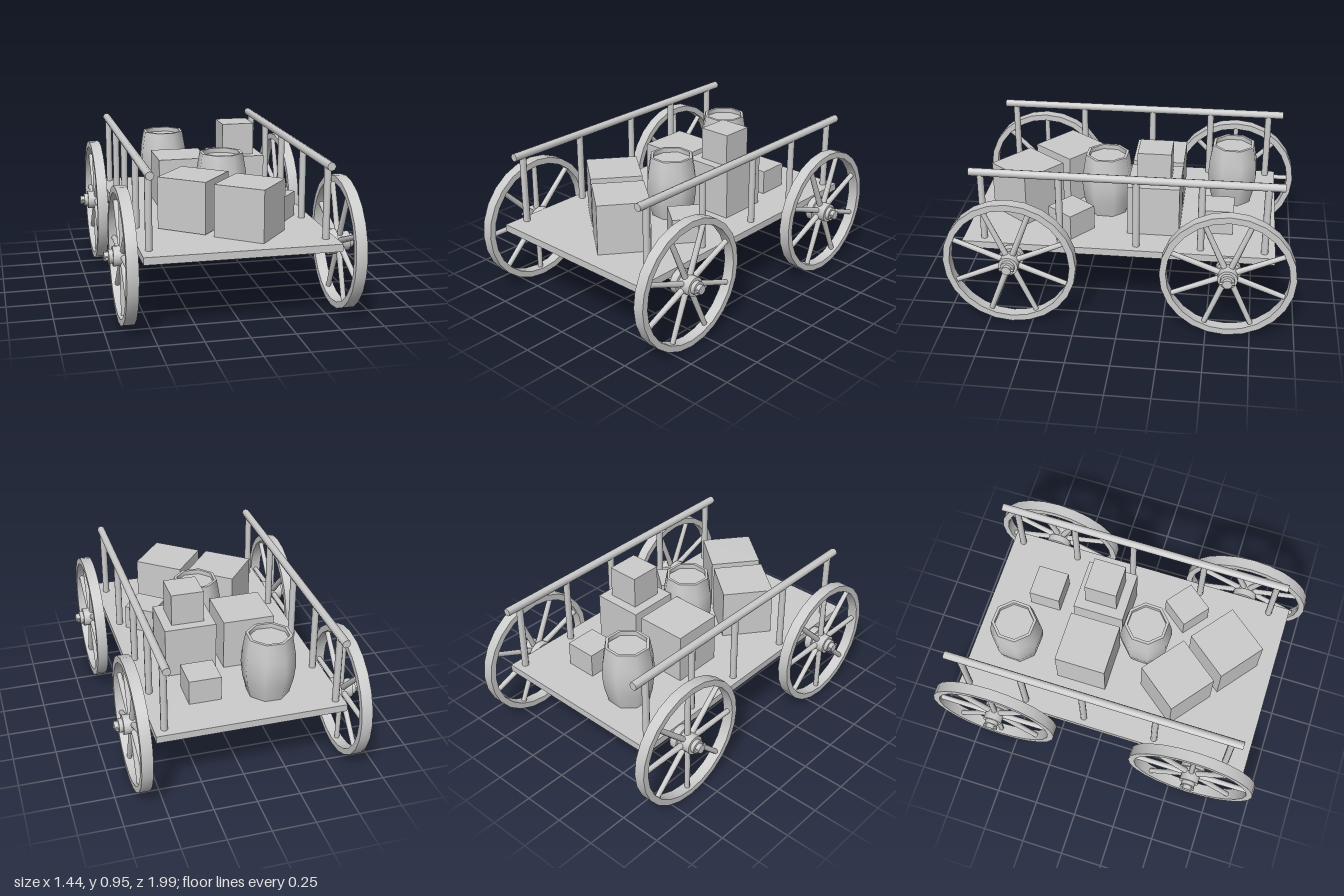
import * as THREE from 'three';
import { toCreasedNormals } from 'three/addons/utils/BufferGeometryUtils.js';

const grey = new THREE.MeshStandardMaterial({ color: 0xcccccc });
const OFFSET = -0.008; // the body sits a touch off centre
const HUB_Y = 0.387;

function add(parent, name, geometry, x = 0, y = 0, z = 0) {
  const mesh = new THREE.Mesh(geometry, grey);
  mesh.name = name;
  mesh.position.set(x, y, z);
  parent.add(mesh);
  return mesh;
}

// Cylinder with smooth sides and sharp ends
function rod(radius, length, sides = 10, radiusTop = radius) {
  return toCreasedNormals(new THREE.CylinderGeometry(radiusTop, radius, length, sides), 0.9);
}

function lathe(points, sides, crease) {
  const profile = points.map(([r, y]) => new THREE.Vector2(r, y));
  return toCreasedNormals(new THREE.LatheGeometry(profile, sides), crease);
}

// Wheel built around the y axis, +y pointing outwards
function makeWheel(spokeStart) {
  const wheel = new THREE.Group();
  wheel.name = 'wheel';
  const half = 0.032;
  add(wheel, 'rim', lathe([[0.344, -half], [0.381, -half], [0.381, half], [0.344, half], [0.344, -half]], 24, 0.5));

  // Stepped hub
  add(wheel, 'hub', lathe([
    [0, -0.065], [0.073, -0.065], [0.073, -0.022], [0.056, -0.022],
    [0.056, 0.055], [0.04, 0.055], [0.04, 0.078], [0.026, 0.078],
    [0.026, 0.103], [0, 0.103],
  ], 16, 0.6));

  // Locking pin through the end of the axle
  const pin = add(wheel, 'axlePin', rod(0.009, 0.085, 6), 0, 0.09, 0);
  pin.rotation.x = Math.PI / 2;

  // Spokes
  for (let i = 0; i < 8; i++) {
    const arm = new THREE.Group();
    arm.name = 'spokeArm';
    arm.rotation.y = spokeStart + (i * Math.PI) / 4;
    const spoke = add(arm, 'spoke', rod(0.018, 0.315, 8, 0.015), 0.2, 0, 0);
    spoke.rotation.z = -Math.PI / 2;
    wheel.add(arm);
  }
  return wheel;
}

// Eight-sided barrel with a raised rim and sunken lid
function makeBarrel() {
  return lathe([
    [0, 0], [0.122, 0], [0.145, 0.09], [0.155, 0.18], [0.149, 0.26],
    [0.13, 0.367], [0.113, 0.367], [0.113, 0.34], [0, 0.34],
  ], 8, 0.85);
}

export function createModel() {
  const cart = new THREE.Group();
  cart.name = 'cart';

  // Flat deck
  add(cart, 'deck', new THREE.BoxGeometry(1.085, 0.042, 1.78), -0.012, 0.436, 0.02);

  // Axles and wheels
  for (const z of [0.618, -0.612]) {
    const axle = add(cart, 'axle', rod(0.025, 1.3, 12), OFFSET, HUB_Y, z);
    axle.rotation.z = Math.PI / 2;
    for (const side of [1, -1]) {
      const wheel = makeWheel(side > 0 ? 0.42 : 0);
      wheel.position.set(OFFSET + side * 0.615, HUB_Y - 0.004, z);
      wheel.rotation.z = -side * Math.PI / 2;
      cart.add(wheel);
    }
  }

  // Side railings
  for (const x of [-0.506, 0.472]) {
    const railing = new THREE.Group();
    railing.name = 'railing';
    const rail = add(railing, 'handrail', rod(0.024, 1.755, 8), x, 0.873, -0.023);
    rail.rotation.x = Math.PI / 2;
    for (const z of [0.79, 0.35, -0.085, -0.45, -0.81]) {
      add(railing, 'post', rod(0.02, 0.42, 10), x, 0.66, z);
    }
    cart.add(railing);
  }

  // Barrels
  for (const [x, z] of [[-0.177, -0.605], [0.04, 0.13]]) {
    const barrel = add(cart, 'barrel', makeBarrel(), x, 0.456, z);
    barrel.rotation.y = 0.35;
  }

  // Crates: x, bottom, z, size, turn
  const crates = [
    [-0.155, 0.456, -0.168, 0.3, 0],
    [0.19, 0.456, -0.168, 0.3, 0],
    [0.192, 0.757, -0.168, 0.19, 0],
    [0.192, 0.416, -0.533, 0.187, 0],
    [-0.182, 0.461, 0.385, 0.298, -0.67],
    [0.092, 0.456, 0.602, 0.298, -0.67],
    [0.314, 0.416, 0.308, 0.187, -0.67],
  ];
  for (const [x, bottom, z, size, turn] of crates) {
    const crate = add(cart, 'crate', new THREE.BoxGeometry(size, size, size), x, bottom + size / 2, z);
    crate.rotation.y = turn;
  }

  return cart;
}
